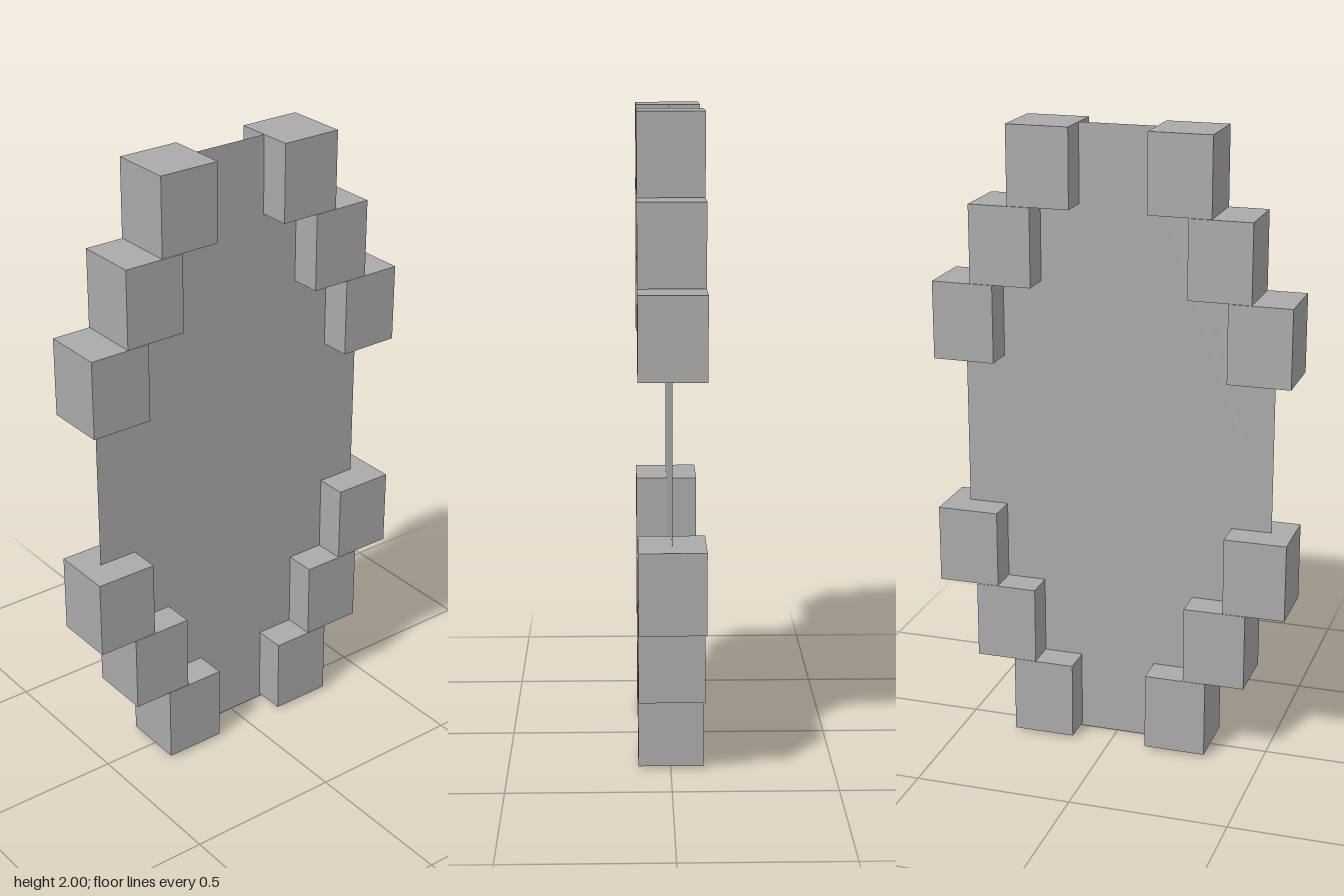
import * as THREE from 'three';

export function createModel() {
  const model = new THREE.Group();
  const grey = new THREE.MeshStandardMaterial({ color: 0xaaaaaa, side: THREE.DoubleSide });
  grey.name = 'stone grey';

  // Stepped flat panel: right-hand outline from bottom to top, then mirrored
  const half = [
    [0.14, 0], [0.14, 0.25], [0.265, 0.25], [0.265, 0.5], [0.39, 0.5], [0.39, 0.755], [0.5, 0.755],
    [0.5, 1.255], [0.39, 1.255], [0.39, 1.505], [0.265, 1.505], [0.265, 1.755], [0.14, 1.755], [0.14, 2],
  ];
  const outline = [...half, ...half.map(([x, y]) => [-x, y]).reverse()];
  const shape = new THREE.Shape(outline.map(([x, y]) => new THREE.Vector2(x, y)));
  const panel = new THREE.Mesh(new THREE.ShapeGeometry(shape), grey);
  panel.name = 'panel';
  model.add(panel);

  // Frame blocks stepping outward toward the middle, on both sides, bottom and top
  const frame = new THREE.Group();
  frame.name = 'frame';
  const blockGeometry = new THREE.BoxGeometry(0.197, 0.248, 0.2);
  for (const side of [-1, 1]) {
    for (let step = 0; step < 3; step++) {
      const x = side * (0.221 + 0.125 * step);
      const levels = { lower: 0.134 + 0.249 * step, upper: 1.876 - 0.249 * step };
      for (const [level, y] of Object.entries(levels)) {
        const block = new THREE.Mesh(blockGeometry, grey);
        block.name = `${level}${side > 0 ? 'Left' : 'Right'}Block${step + 1}`;
        block.position.set(x, y, 0);
        frame.add(block);
      }
    }
  }
  model.add(frame);
  return model;
}
